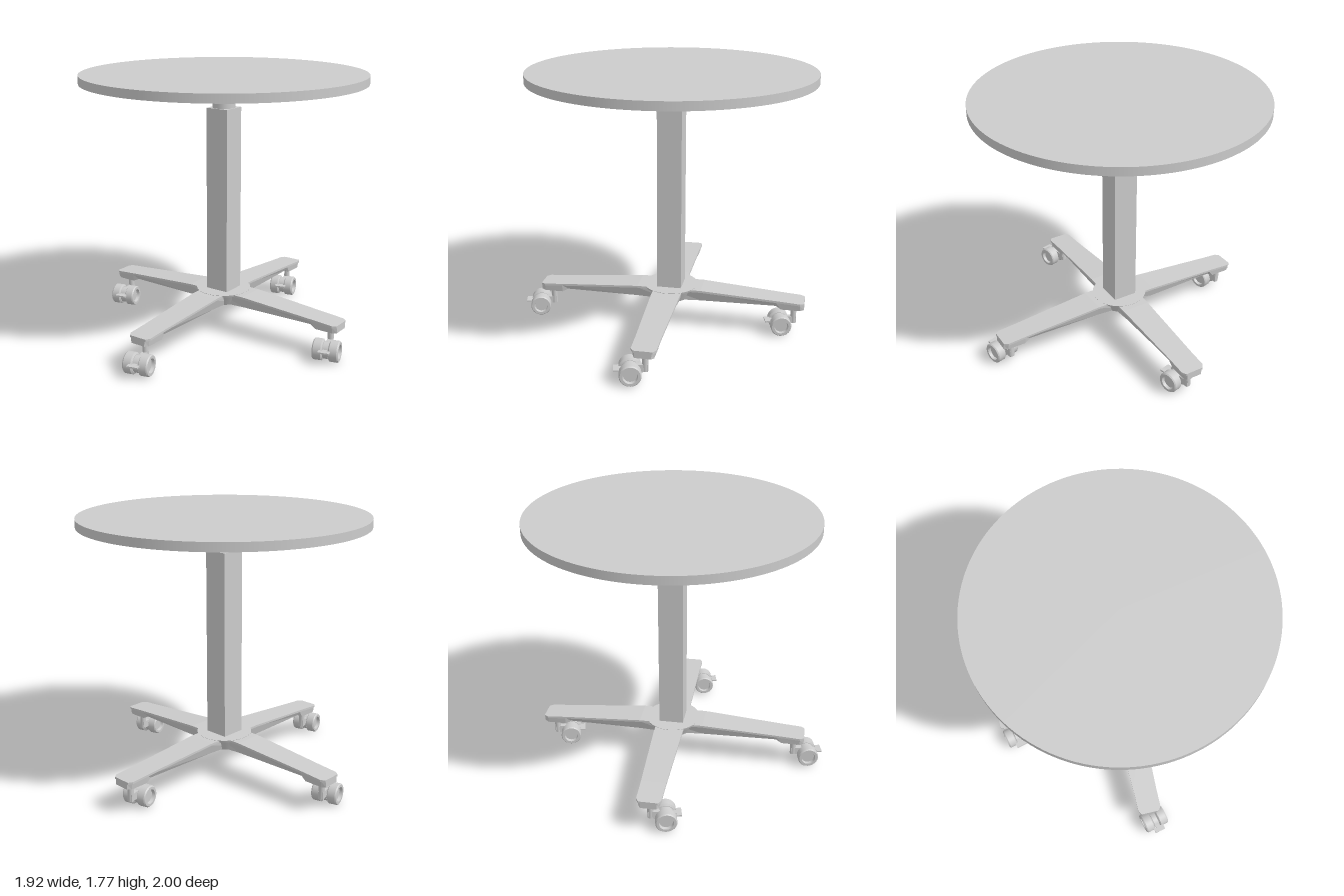
import * as THREE from 'three';

const grey = new THREE.MeshStandardMaterial({ color: 0xcccccc });
const flat = new THREE.MeshStandardMaterial({ color: 0xcccccc, flatShading: true });

function add(parent, name, geometry, x = 0, y = 0, z = 0, material = grey) {
  const mesh = new THREE.Mesh(geometry, material);
  mesh.name = name;
  mesh.position.set(x, y, z);
  parent.add(mesh);
  return mesh;
}

// Tapered leg running along +z: [distance, top y, half width, bottom y, bottom half width]
function legGeometry() {
  const sections = [
    [0.02, 0.283, 0.1, 0.2, 0.085],
    [0.22, 0.283, 0.097, 0.2, 0.068],
    [0.73, 0.247, 0.082, 0.2, 0.056],
    [0.77, 0.244, 0.081, 0.18, 0.066],
    [0.895, 0.235, 0.08, 0.18, 0.066],
    [0.922, 0.233, 0.062, 0.184, 0.052],
  ];
  const lip = 0.014, step = 0.008;
  const rings = sections.map(([z, top, w, bottom, wb]) => [
    [-wb, bottom, z], [wb, bottom, z], [w - step, top - lip, z], [w, top - lip, z],
    [w, top, z], [-w, top, z], [-w, top - lip, z], [-w + step, top - lip, z],
  ]);
  const points = [];
  for (let s = 0; s < rings.length - 1; s++) {
    const a = rings[s], b = rings[s + 1];
    for (let i = 0; i < 8; i++) {
      const j = (i + 1) % 8;
      points.push(...a[i], ...a[j], ...b[j], ...a[i], ...b[j], ...b[i]);
    }
  }
  // Tip: lower body and lip
  const t = rings[rings.length - 1];
  for (const [i, j, k] of [[0, 1, 2], [0, 2, 7], [6, 3, 4], [6, 4, 5]]) {
    points.push(...t[i], ...t[j], ...t[k]);
  }
  const geometry = new THREE.BufferGeometry();
  geometry.setAttribute('position', new THREE.Float32BufferAttribute(points, 3));
  geometry.computeVertexNormals();
  return geometry;
}

// Wheel with a recessed outer face; doubled points keep its edges sharp
function wheelGeometry() {
  const corners = [[0, 0], [0.058, 0], [0.07, 0.008], [0.07, 0.057], [0.064, 0.065], [0.047, 0.065], [0.043, 0.045], [0, 0.045]];
  const profile = corners.flatMap(([r, y], i) =>
    (i === 0 || i === corners.length - 1 ? [0] : [0, 0]).map(() => new THREE.Vector2(r, y)));
  return new THREE.LatheGeometry(profile, 32);
}

function createCaster() {
  const caster = new THREE.Group();
  caster.name = 'caster';
  const trail = 0.095;
  add(caster, 'casterStem', new THREE.CylinderGeometry(0.02, 0.02, 0.12, 20), 0, 0.125, 0);
  add(caster, 'casterCollar', new THREE.CylinderGeometry(0.03, 0.03, 0.012, 20), 0, 0.175, 0);
  add(caster, 'casterArm', new THREE.BoxGeometry(0.034, 0.05, 0.09), 0, 0.088, 0.03);
  add(caster, 'casterHousing', new THREE.CylinderGeometry(0.056, 0.056, 0.036, 28), 0, 0.07, trail).rotation.z = Math.PI / 2;
  add(caster, 'brakeStalk', new THREE.BoxGeometry(0.03, 0.01, 0.07), 0, 0.088, trail + 0.06);
  add(caster, 'brakePedal', new THREE.BoxGeometry(0.075, 0.01, 0.035), 0, 0.088, trail + 0.085);
  for (const side of [-1, 1]) {
    const wheel = add(caster, 'wheel', wheelGeometry(), side * 0.02, 0.07, trail);
    wheel.rotation.z = -side * Math.PI / 2;
  }
  return caster;
}

export function createModel() {
  const model = new THREE.Group();
  model.name = 'rollingTable';
  const table = new THREE.Group();
  table.name = 'table';
  table.position.set(-0.02, 0, -0.052);
  model.add(table);

  // Top, mounting plate and column
  add(table, 'tabletop', new THREE.CylinderGeometry(0.945, 0.945, 0.056, 128), 0, 1.743, 0);
  add(table, 'mountingPlate', new THREE.BoxGeometry(0.36, 0.1, 0.356), 0, 1.666, 0);
  add(table, 'innerColumn', new THREE.CylinderGeometry(0.075, 0.075, 0.1, 32), 0, 1.58, 0);
  add(table, 'column', new THREE.BoxGeometry(0.165, 1.29, 0.165), 0, 0.897, 0);

  // Hub of the base
  add(table, 'hubCover', new THREE.CylinderGeometry(0.185, 0.18, 0.014, 48), 0, 0.278, 0);
  add(table, 'hub', new THREE.CylinderGeometry(0.165, 0.13, 0.074, 48), 0, 0.235, 0);
  add(table, 'hubBottomCap', new THREE.CylinderGeometry(0.117, 0.117, 0.012, 40), 0, 0.199, 0);

  // Four legs, each on a caster; the casters all trail the same way
  const leg = legGeometry();
  for (let i = 0; i < 4; i++) {
    const angle = i * Math.PI / 2;
    add(table, 'leg', leg, 0, 0, 0, flat).rotation.y = angle;
    const caster = createCaster();
    caster.position.set(Math.sin(angle) * 0.85, 0, Math.cos(angle) * 0.85);
    caster.rotation.y = 0.255;
    table.add(caster);
  }
  return model;
}
